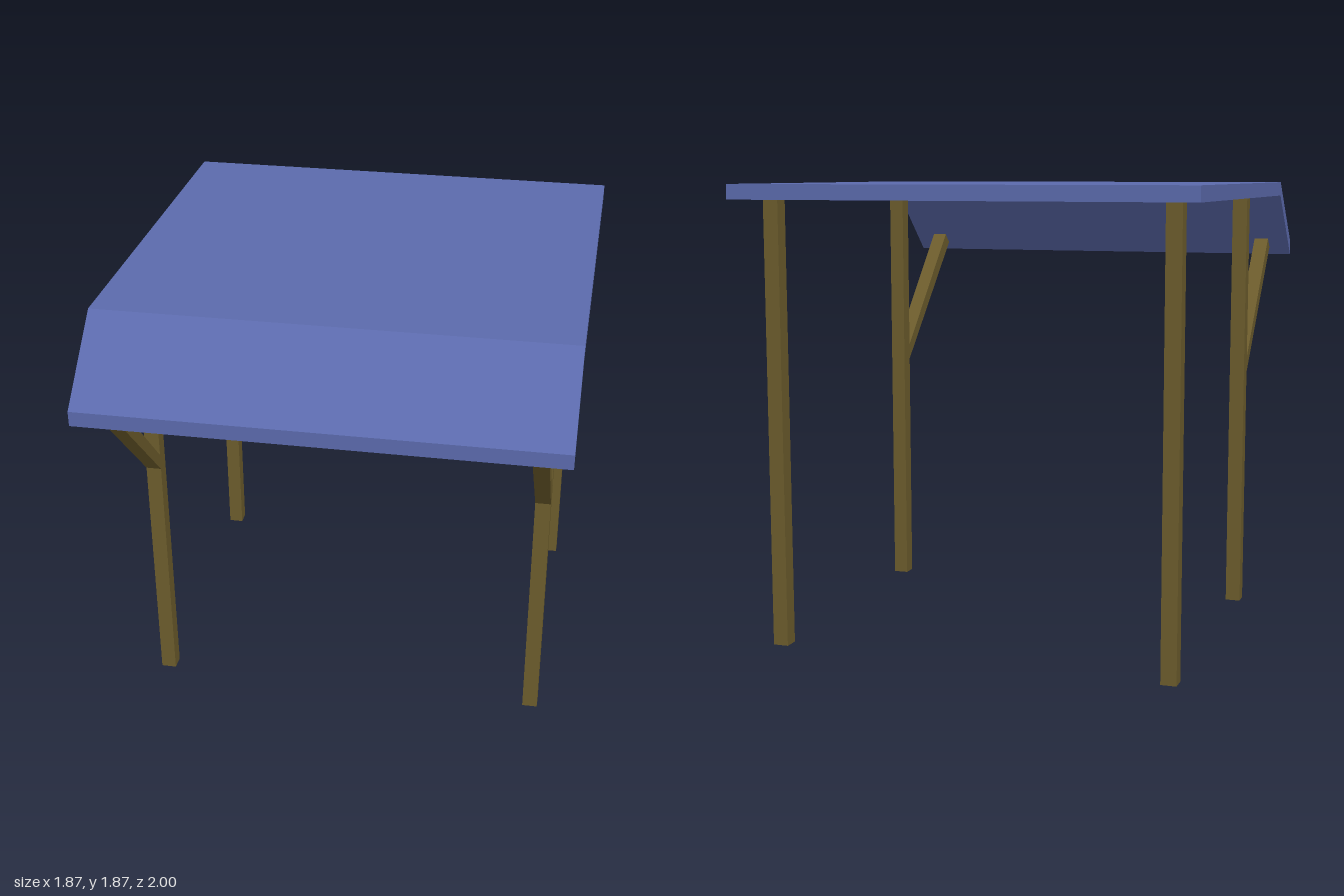
import * as THREE from 'three';

// Extrude a side profile given as [z, y] points along x, centred on x = 0
function sideExtrude(points, width) {
  const shape = new THREE.Shape(points.map(([z, y]) => new THREE.Vector2(z, y)));
  const geo = new THREE.ExtrudeGeometry(shape, { depth: width, bevelEnabled: false });
  geo.translate(0, 0, -width / 2);
  geo.rotateY(-Math.PI / 2);
  return geo;
}

export function createModel() {
  const group = new THREE.Group();
  const blue = new THREE.MeshStandardMaterial({ color: 0x5b6aac });
  blue.name = 'blueRoof';
  const wood = new THREE.MeshStandardMaterial({ color: 0x6c5c2c });
  wood.name = 'brownWood';

  const add = (name, geo, mat, x = 0, y = 0, z = 0) => {
    const mesh = new THREE.Mesh(geo, mat);
    mesh.name = name;
    mesh.position.set(x, y, z);
    group.add(mesh);
  };

  // Flat roof with a sloping front awning
  add('roof', sideExtrude([
    [-1, 1.81], [0.69, 1.81], [1, 1.53], [1, 1.59], [0.69, 1.87], [-1, 1.87],
  ], 1.87), blue);

  // Posts and diagonal braces, mirrored left and right
  const postSize = 0.063, postHeight = 1.81;
  const postGeo = new THREE.BoxGeometry(postSize, postHeight, postSize);
  const braceGeo = sideExtrude([
    [0.433, 1.033], [0.961, 1.565], [0.916, 1.606], [0.433, 1.1],
  ], postSize);
  for (const [side, x] of [['left', 0.812], ['right', -0.812]]) {
    add(side + 'FrontPost', postGeo, wood, x, postHeight / 2, 0.402);
    add(side + 'BackPost', postGeo, wood, x, postHeight / 2, -0.844);
    add(side + 'Brace', braceGeo, wood, x);
  }
  return group;
}
